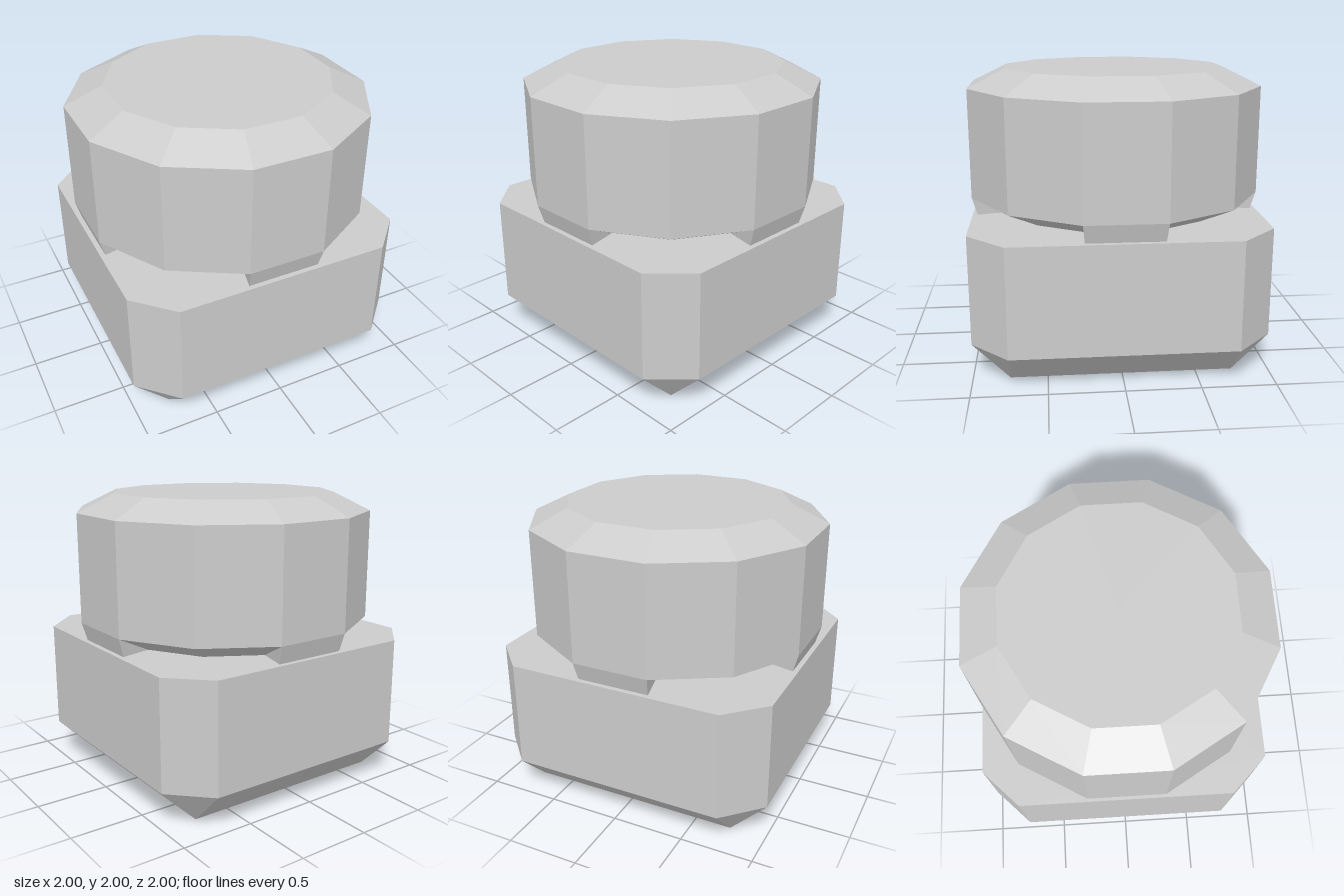
import * as THREE from 'three';
import { ConvexGeometry } from 'three/addons/geometries/ConvexGeometry.js';

const material = new THREE.MeshStandardMaterial({ color: 0xcccccc, flatShading: true });

function addMesh(parent, name, geometry) {
  const mesh = new THREE.Mesh(geometry, material);
  mesh.name = name;
  parent.add(mesh);
  return mesh;
}

export function createModel() {
  const group = new THREE.Group();
  group.name = 'buttonOnBlock';
  const V = (x, y, z) => new THREE.Vector3(x, y, z);

  // Square base: cut vertical corners, bevelled down to a smaller square
  const corners = [];
  for (const sx of [-1, 1]) {
    for (const sz of [-1, 1]) {
      corners.push(V(0.75 * sx, 0, 0.75 * sz));
      for (const y of [0.25, 1]) {
        corners.push(V(sx, y, 0.75 * sz), V(0.75 * sx, y, sz));
      }
    }
  }
  addMesh(group, 'base', new ConvexGeometry(corners));

  // Twelve-sided knob, flats facing the axes, bevelled at both ends
  const R = 1 / Math.cos(Math.PI / 12);
  const profile = [
    [0, 1], [0.75 * R, 1], [R, 1.125], [R, 1.875], [0.75 * R, 2], [0, 2],
  ].map(([r, y]) => new THREE.Vector2(r, y));
  addMesh(group, 'knob', new THREE.LatheGeometry(profile, 12, Math.PI / 12));

  // Four wedge feet filling the lower bevel on the axis-facing sides
  const wedge = [];
  for (const s of [-1, 1]) {
    wedge.push(V(0.268 * s, 1.125, 1), V(0.255 * s, 1, 0.965), V(0.201 * s, 1, 0.75));
  }
  const footGeometry = new ConvexGeometry(wedge);
  for (let i = 0; i < 4; i++) {
    addMesh(group, 'foot', footGeometry).rotation.y = (i * Math.PI) / 2;
  }

  return group;
}
